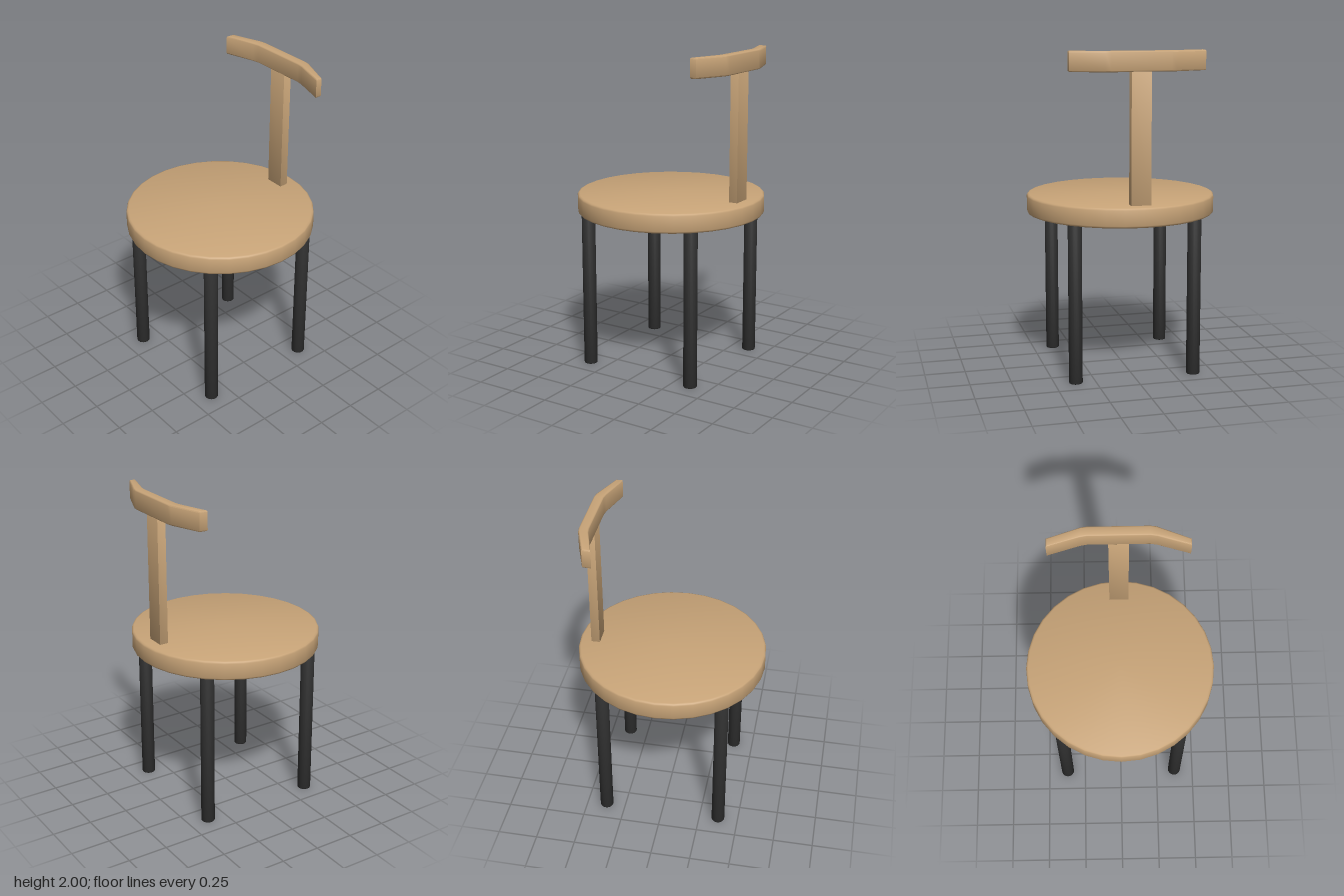
import * as THREE from 'three';
import { toCreasedNormals } from 'three/addons/utils/BufferGeometryUtils.js';

const wood = new THREE.MeshStandardMaterial({ color: 0xc8a478 });
wood.name = 'lightWood';
const black = new THREE.MeshStandardMaterial({ color: 0x303030 });
black.name = 'blackMetal';

// Solid round part with softened rims, standing between y0 and y1
function roundPart(radius, y0, y1, bevel, sides) {
  const b = bevel, k = bevel * 0.3;
  const profile = [
    [0, y0], [radius - b, y0], [radius - k, y0 + k], [radius, y0 + b],
    [radius, y1 - b], [radius - k, y1 - k], [radius - b, y1], [0, y1],
  ].map(([x, y]) => new THREE.Vector2(x, y));
  return toCreasedNormals(new THREE.LatheGeometry(profile, sides), 0.9);
}

// Plan outline of [x, z] points raised from y0 to y1, with softened edges
function planPart(outline, y0, y1, bevel) {
  const shape = new THREE.Shape(outline.map(([x, z]) => new THREE.Vector2(x, -z)));
  const geometry = new THREE.ExtrudeGeometry(shape, {
    depth: y1 - y0 - 2 * bevel, bevelThickness: bevel,
    bevelSize: bevel, bevelOffset: -bevel, bevelSegments: 2,
  });
  geometry.rotateX(-Math.PI / 2).translate(0, y0 + bevel, 0);
  return toCreasedNormals(geometry, 0.9);
}

export function createModel() {
  const group = new THREE.Group();
  group.name = 'roundChair';
  const add = (name, geometry, material) => {
    const mesh = new THREE.Mesh(geometry, material);
    mesh.name = name;
    group.add(mesh);
    return mesh;
  };

  // Round seat
  add('seat', roundPart(0.586, 0.98, 1.1, 0.014, 32), wood);

  // Four straight legs
  const legGeometry = roundPart(0.042, 0, 0.985, 0.006, 20);
  for (const [side, x] of [['left', 0.372], ['right', -0.372]]) {
    for (const [end, z] of [['Front', 0.372], ['Back', -0.372]]) {
      add(side + end + 'Leg', legGeometry, black).position.set(x, 0, z);
    }
  }

  // Upright post
  const post = [[0.452, 0.06], [0.506, 0.06], [0.506, -0.06], [0.452, -0.06]];
  add('backPost', planPart(post, 1.09, 1.89, 0.004), wood);

  // Bent backrest with angled ends
  const backrest = [
    [0.385, 0.41], [0.425, 0.41], [0.505, 0.215], [0.51, 0.18],
    [0.51, -0.18], [0.505, -0.215], [0.438, -0.41], [0.385, -0.41],
    [0.443, -0.22], [0.45, -0.18], [0.45, 0.18], [0.443, 0.22],
  ];
  add('backrest', planPart(backrest, 1.88, 2, 0.008), wood);

  return group;
}
